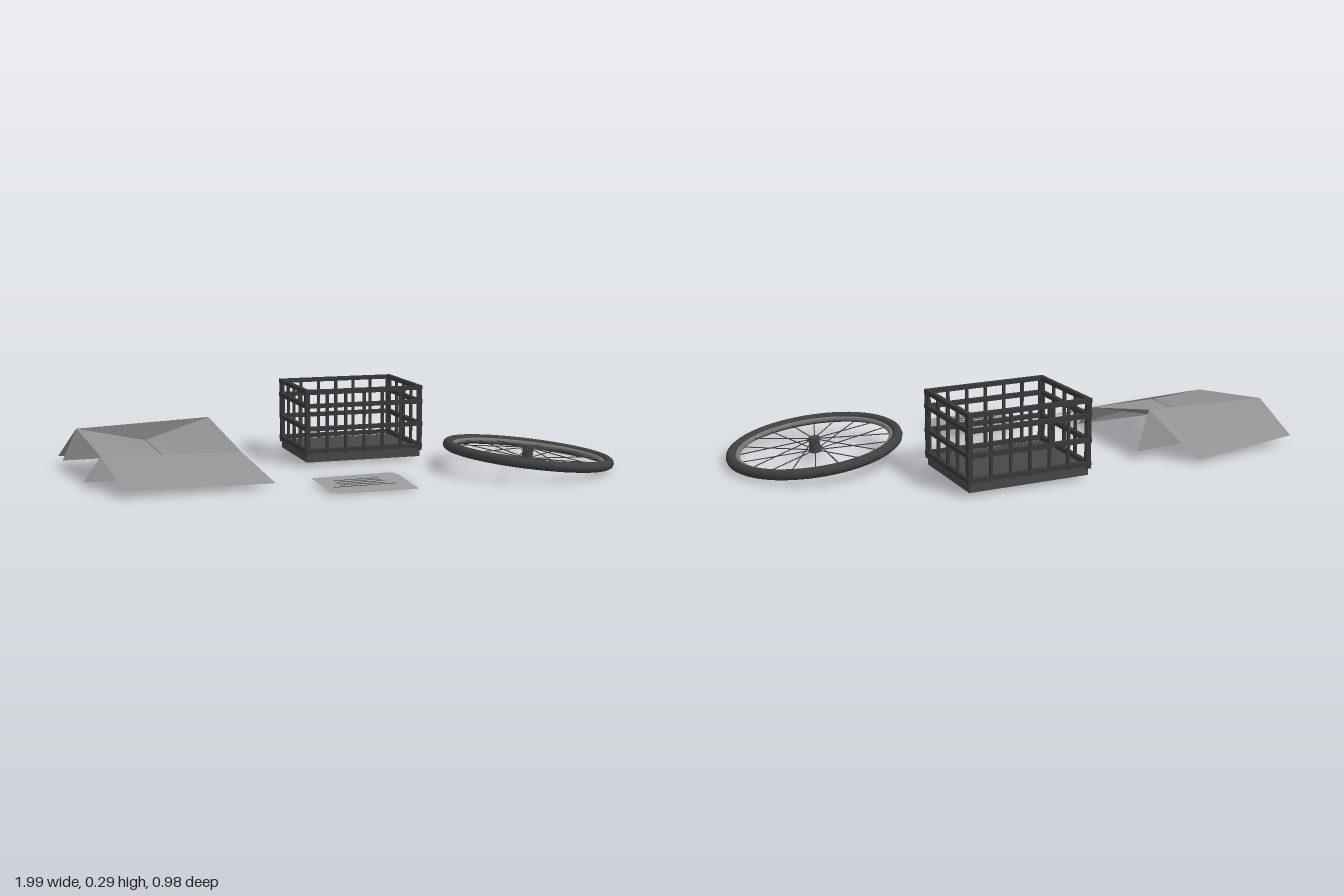
import * as THREE from 'three';

const mat = (name, color, side = THREE.FrontSide) => {
  const m = new THREE.MeshStandardMaterial({ color, side });
  m.name = name;
  return m;
};

export function createModel() {
  const cardboard = mat('cardboard grey', 0x929292, THREE.DoubleSide);
  const paper = mat('paper grey', 0x9c9c9c, THREE.DoubleSide);
  const ink = mat('ink', 0x333333, THREE.DoubleSide);
  const crateBars = mat('crate plastic', 0x383838);
  const crateFloor = mat('crate floor', 0x474747);
  const rubber = mat('rubber', 0x404040);
  const metal = mat('rim metal', 0x777777);
  const darkMetal = mat('dark metal', 0x444444);

  const root = new THREE.Group();
  const group = (name) => {
    const g = new THREE.Group();
    g.name = name;
    root.add(g);
    return g;
  };
  const add = (parent, name, geo, material, x = 0, y = 0, z = 0) => {
    const m = new THREE.Mesh(geo, material);
    m.name = name;
    m.position.set(x, y, z);
    parent.add(m);
    return m;
  };
  // four-cornered sheet, corners in loop order
  const sheet = (parent, name, material, a, b, c, d) => {
    const geo = new THREE.BufferGeometry();
    geo.setAttribute('position', new THREE.Float32BufferAttribute([a, b, c, a, c, d].flat(), 3));
    geo.computeVertexNormals();
    return add(parent, name, geo, material);
  };

  // ---- collapsed cardboard box ----
  const box = group('cardboardBox');
  const backL = [-0.944, 0.157, -0.31], backR = [-0.44, 0.175, -0.325];
  const frontL = [-0.906, 0.112, 0.045], frontR = [-0.4, 0.1, 0.035];
  const seam = (dx) => [[-0.688 + dx, 0.1, -0.315], [-0.683 + dx, 0.1, 0.04]];
  const [sbL, sfL] = seam(-0.003), [sbR, sfR] = seam(0.003);
  sheet(box, 'leftTopPanel', cardboard, backL, frontL, sfL, sbL);
  sheet(box, 'rightTopPanel', cardboard, sbR, sfR, frontR, backR);
  sheet(box, 'frontOuterFlap', cardboard, frontL, [-0.863, 0.028, 0.26], [-0.33, 0.02, 0.25], frontR);
  sheet(box, 'backOuterFlap', cardboard, backR, [-0.55, 0.015, -0.495], [-1, 0.035, -0.435], backL);
  sheet(box, 'frontInnerFlap', cardboard, frontL, [-0.97, 0.028, 0.066], [-0.37, 0.025, 0.08], frontR);
  sheet(box, 'backInnerFlap', cardboard, backR, [-0.377, 0.033, -0.355], [-0.995, 0.035, -0.335], backL);

  // ---- open lattice crate ----
  const crate = group('crate');
  crate.position.set(0.119, 0, -0.292);
  const bar = (name, w, h, d, x, y, z) => add(crate, name, new THREE.BoxGeometry(w, h, d), crateBars, x, y, z);
  add(crate, 'floor', new THREE.BoxGeometry(0.455, 0.032, 0.354), crateFloor, 0, 0.031, 0);
  const hx = 0.2265, hz = 0.178;
  for (const s of [-1, 1]) {
    for (const y of [0.058, 0.143, 0.23, 0.284]) {
      bar('longRail', 0.47, 0.016, 0.016, 0, y, s * hz);
      bar('shortRail', 0.016, 0.016, 0.372, s * hx, y, 0);
    }
    for (let i = -3; i <= 3; i++) bar('longSideSlat', 0.01, 0.24, 0.01, i * 0.0735, 0.165, s * hz);
    for (let i = -2; i <= 2; i++) bar('shortSideSlat', 0.01, 0.24, 0.01, s * hx, 0.165, i * 0.0815);
    for (const t of [-1, 1]) bar('cornerPost', 0.014, 0.25, 0.014, s * hx, 0.165, t * hz);
  }

  // ---- wheel lying on its side ----
  const wheel = group('wheel');
  wheel.position.set(0.675, 0.058, 0.163);
  wheel.rotation.z = -0.112;
  const ring = (name, R, r, material) => {
    const geo = new THREE.TorusGeometry(R, r, 10, 64);
    geo.rotateX(Math.PI / 2);
    return add(wheel, name, geo, material);
  };
  ring('tyre', 0.302, 0.019, rubber);
  ring('rim', 0.28, 0.009, metal);
  add(wheel, 'hub', new THREE.CylinderGeometry(0.02, 0.02, 0.056, 16), darkMetal);
  for (const s of [-1, 1]) {
    add(wheel, 'hubFlange', new THREE.CylinderGeometry(0.025, 0.025, 0.006, 16), darkMetal, 0, s * 0.02, 0);
  }
  // spokes alternate between the two hub flanges
  const up = new THREE.Vector3(0, 1, 0);
  for (let i = 0; i < 20; i++) {
    const a = (i / 20) * Math.PI * 2;
    const from = new THREE.Vector3(Math.cos(a) * 0.02, i % 2 ? 0.02 : -0.02, Math.sin(a) * 0.02);
    const to = new THREE.Vector3(Math.cos(a) * 0.278, 0, Math.sin(a) * 0.278);
    const dir = to.clone().sub(from);
    const spoke = add(wheel, 'spoke', new THREE.CylinderGeometry(0.002, 0.002, dir.length(), 5), darkMetal);
    spoke.position.copy(from).add(to).multiplyScalar(0.5);
    spoke.quaternion.setFromUnitVectors(up, dir.normalize());
  }

  // ---- loose printed papers ----
  const papers = group('papers');
  sheet(papers, 'lowerSheet', paper,
    [-0.15, 0.012, 0.185], [-0.15, 0.003, 0.41], [0.145, 0.002, 0.408], [0.145, 0.014, 0.19]);
  sheet(papers, 'middleSheet', paper,
    [-0.18, 0.016, 0.183], [-0.18, 0.009, 0.42], [0.12, 0.008, 0.425], [0.12, 0.02, 0.183]);
  const topY = (x, z) => 0.021 + 0.01 * x - 0.02 * (z - 0.3);
  const patch = (name, material, x0, x1, z0, z1, lift) => {
    const p = (x, z) => [x, topY(x, z) + lift, z];
    sheet(papers, name, material, p(x0, z0), p(x0, z1), p(x1, z1), p(x1, z0));
  };
  patch('topSheet', paper, -0.18, 0.12, 0.21, 0.42, 0);
  for (let i = 0; i < 5; i++) {
    const z = 0.28 + i * 0.025, last = i === 4;
    patch('printedLine', ink, last ? -0.16 : -0.13, last ? 0.07 : 0.038, z - 0.004, z + 0.004, 0.002);
  }
  return root;
}
